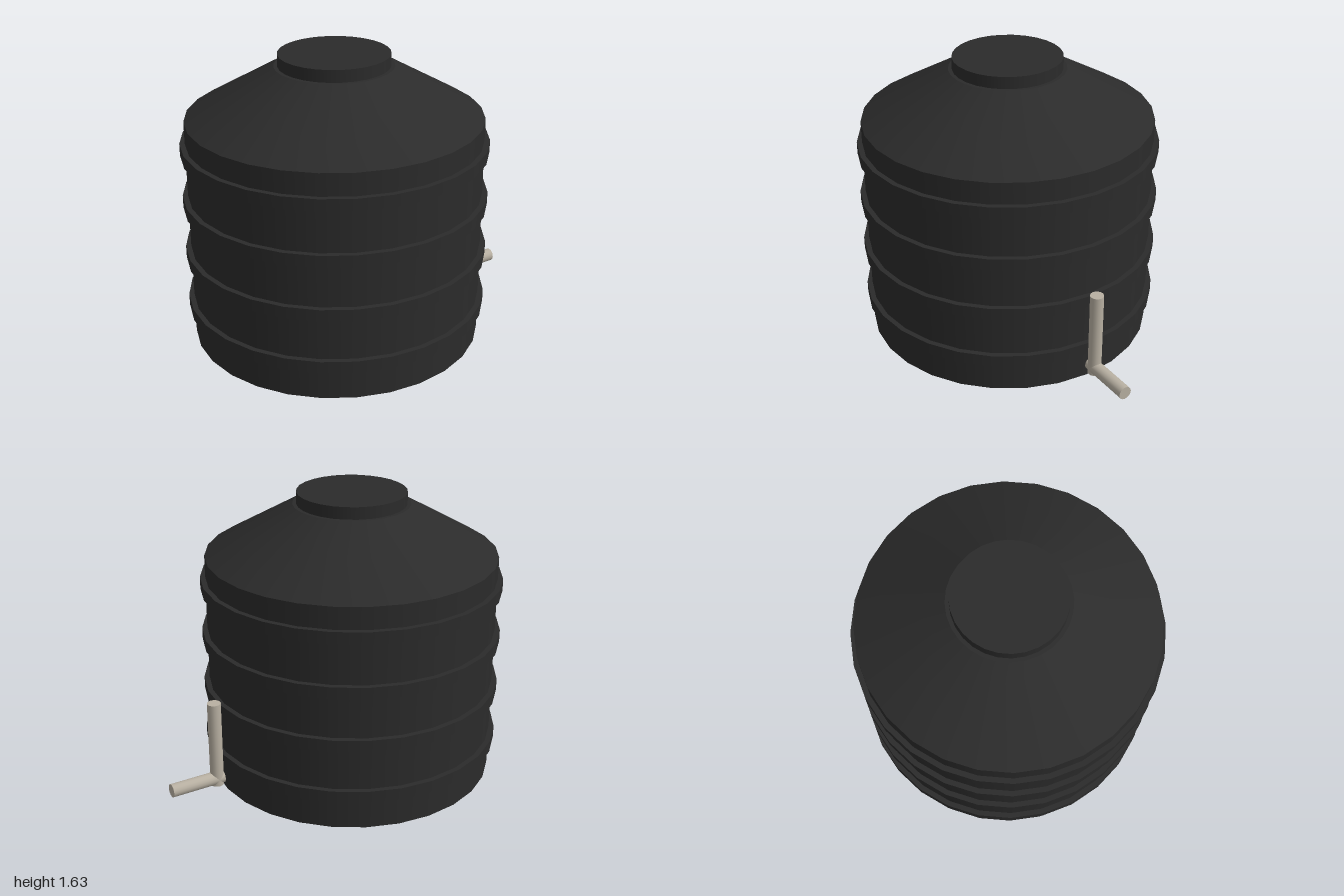
import * as THREE from 'three';

export function createModel() {
  const model = new THREE.Group();
  model.name = 'waterTank';
  const black = new THREE.MeshStandardMaterial({ color: 0x2b2b2b });
  black.name = 'black plastic';
  const grey = new THREE.MeshStandardMaterial({ color: 0xb8b0a2 });
  grey.name = 'pale grey pipe';

  // Upright cylinder or cone frustum between two heights
  const drum = (parent, name, rTop, rBottom, y0, y1, material, sides) => {
    const geometry = new THREE.CylinderGeometry(rTop, rBottom, y1 - y0, sides);
    const mesh = new THREE.Mesh(geometry, material);
    mesh.name = name;
    mesh.position.y = (y0 + y1) / 2;
    parent.add(mesh);
    return mesh;
  };

  // Tank, set to one side so the outlet balances the width
  const tank = new THREE.Group();
  tank.name = 'tank';
  tank.position.x = -0.156;
  model.add(tank);
  const sides = 28;
  drum(tank, 'body', 0.815, 0.815, 0, 1.28, black, sides);
  drum(tank, 'shoulder', 0.326, 0.815, 1.28, 1.562, black, sides);
  drum(tank, 'lid', 0.305, 0.305, 1.55, 1.63, black, sides);

  // Four raised hoops
  for (let i = 0; i < 4; i++) {
    const y = 0.204 + i * 0.306;
    drum(tank, 'hoop' + (i + 1), 0.844, 0.844, y - 0.034, y + 0.034, black, sides);
  }

  // Outlet: a riser and a spout crossing at the elbow
  const outlet = new THREE.Group();
  outlet.name = 'outlet';
  model.add(outlet);
  const riser = drum(outlet, 'riserPipe', 0.038, 0.038, 0.056, 0.562, grey, 16);
  riser.position.x = 0.722;
  const spout = drum(outlet, 'spoutPipe', 0.038, 0.038, 0, 0.314, grey, 16);
  spout.rotation.z = Math.PI / 2;
  spout.position.set(0.843, 0.094, 0);

  return model;
}
